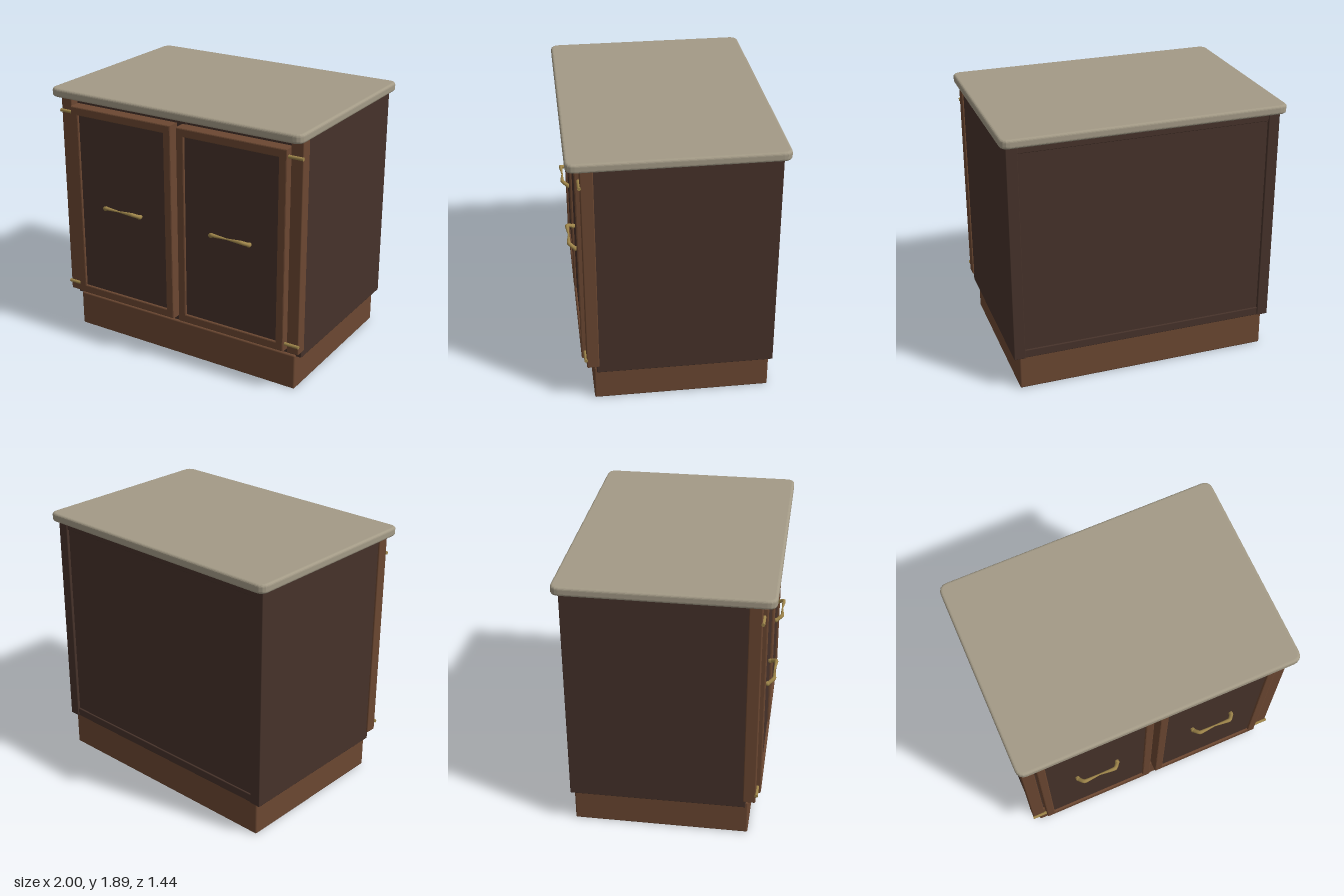
import * as THREE from 'three';
import { RoundedBoxGeometry } from 'three/addons/geometries/RoundedBoxGeometry.js';

const mat = (color) => new THREE.MeshStandardMaterial({ color });

export function createModel() {
  const model = new THREE.Group();
  const wood = mat(0x6b4731), dark = mat(0x46322a), stone = mat(0xa39a86), brass = mat(0x9c8349);

  const add = (name, geometry, material, parent = model) => {
    const mesh = new THREE.Mesh(geometry, material);
    mesh.name = name;
    parent.add(mesh);
    return mesh;
  };

  // Box given by its minimum and maximum corners, with slightly eased edges
  const box = (name, material, [x0, y0, z0], [x1, y1, z1], r = 0.005, parent = model) => {
    const mesh = add(name, new RoundedBoxGeometry(x1 - x0, y1 - y0, z1 - z0, 2, r), material, parent);
    mesh.position.set((x0 + x1) / 2, (y0 + y1) / 2, (z0 + z1) / 2);
    return mesh;
  };

  // Worktop: rounded rectangle with a softly rounded edge
  const bevel = 0.018, w = 1 - bevel, d = 0.72 - bevel, r = 0.045;
  const slab = new THREE.Shape();
  slab.moveTo(-w + r, -d);
  slab.lineTo(w - r, -d).quadraticCurveTo(w, -d, w, -d + r);
  slab.lineTo(w, d - r).quadraticCurveTo(w, d, w - r, d);
  slab.lineTo(-w + r, d).quadraticCurveTo(-w, d, -w, d - r);
  slab.lineTo(-w, -d + r).quadraticCurveTo(-w, -d, -w + r, -d);
  const top = new THREE.ExtrudeGeometry(slab, {
    depth: 0.064 - 2 * bevel, bevelSize: bevel, bevelThickness: bevel, bevelSegments: 4, curveSegments: 4,
  });
  top.rotateX(-Math.PI / 2).translate(0, 1.828 + bevel, 0);
  add('worktop', top, stone);

  // Plinth and carcass
  box('plinth', wood, [-0.92, 0, -0.65], [0.92, 0.262, 0.58], 0.012);
  box('carcass', dark, [-0.9, 0.27, -0.65], [0.9, 1.82, 0.55]);
  box('topBackRail', dark, [-0.89, 1.77, -0.662], [0.89, 1.83, -0.63]);
  box('bottomBackRail', dark, [-0.89, 0.25, -0.662], [0.89, 0.31, -0.63]);
  box('topFrontRail', dark, [-0.89, 1.755, 0.53], [0.89, 1.82, 0.565]);
  box('bottomFrontRail', dark, [-0.89, 0.262, 0.53], [0.89, 0.33, 0.565]);
  box('centreStile', dark, [-0.05, 0.3, 0.53], [0.05, 1.8, 0.575]);

  // Door frame outline with an opening for the panel
  const rect = (path, hw, y0, y1) => {
    path.moveTo(-hw, y0);
    path.lineTo(hw, y0).lineTo(hw, y1).lineTo(-hw, y1).lineTo(-hw, y0);
    return path;
  };
  const edge = 0.008;
  const frameShape = rect(new THREE.Shape(), 0.423 - edge, 0.318 + edge, 1.762 - edge);
  frameShape.holes.push(rect(new THREE.Path(), 0.363 + edge, 0.38 - edge, 1.70 + edge));
  const frameGeo = new THREE.ExtrudeGeometry(frameShape, {
    depth: 0.095 - 2 * edge, bevelSize: edge, bevelThickness: edge, bevelSegments: 2,
  }).translate(0, 0, 0.565 + edge);

  // Bent bar handle, thinner at the middle
  const handlePath = new THREE.CatmullRomCurve3([
    [-0.152, 1.042, 0.645], [-0.148, 1.046, 0.665], [-0.115, 1.068, 0.702], [0, 1.064, 0.697],
    [0.115, 1.068, 0.702], [0.148, 1.046, 0.665], [0.152, 1.042, 0.645],
  ].map((p) => new THREE.Vector3(...p)), false, 'catmullrom', 0.2);
  const steps = 36, sides = 10;
  const handleGeo = new THREE.TubeGeometry(handlePath, steps, 0.014, sides);
  const pos = handleGeo.attributes.position, v = new THREE.Vector3();
  for (let i = 0; i <= steps; i++) {
    const c = handlePath.getPointAt(i / steps);
    const s = 0.4 + 0.6 * Math.min(1, Math.abs(c.x) / 0.115);
    for (let j = 0; j <= sides; j++) {
      const k = i * (sides + 1) + j;
      v.fromBufferAttribute(pos, k).sub(c).multiplyScalar(s).add(c);
      pos.setXYZ(k, v.x, v.y, v.z);
    }
  }
  handleGeo.computeVertexNormals();

  for (const side of [1, -1]) {
    const name = side > 0 ? 'left' : 'right';
    const sorted = (a, b) => (side > 0 ? [a, b] : [-b, -a]);

    // Side panel and front corner post
    const [p0, p1] = sorted(0.88, 0.96);
    box(name + 'SidePanel', dark, [p0, 0.25, -0.67], [p1, 1.83, 0.562]);
    const [s0, s1] = sorted(0.882, 0.972);
    box(name + 'CornerPost', wood, [s0, 0.305, 0.545], [s1, 1.83, 0.63], 0.007);

    // Door with recessed panel and handle
    const door = new THREE.Group();
    door.name = name + 'Door';
    door.position.x = side * 0.446;
    add('doorFrame', frameGeo, wood, door);
    box('doorPanel', dark, [-0.38, 0.36, 0.575], [0.38, 1.72, 0.645], 0.004, door);
    add('handle', handleGeo, brass, door);
    for (const end of [-1, 1]) {
      const foot = add('handleFoot', new THREE.SphereGeometry(0.017, 12, 8), brass, door);
      foot.position.set(end * 0.15, 1.043, 0.66);
    }
    model.add(door);

    // Hinges bridging the door and the post
    for (const y of [0.37, 1.71]) {
      const hinge = add(name + 'Hinge', new THREE.CylinderGeometry(0.012, 0.012, 0.108, 14), brass);
      hinge.rotation.z = Math.PI / 2;
      hinge.position.set(side * 0.922, y, 0.635);
    }
  }
  return model;
}
